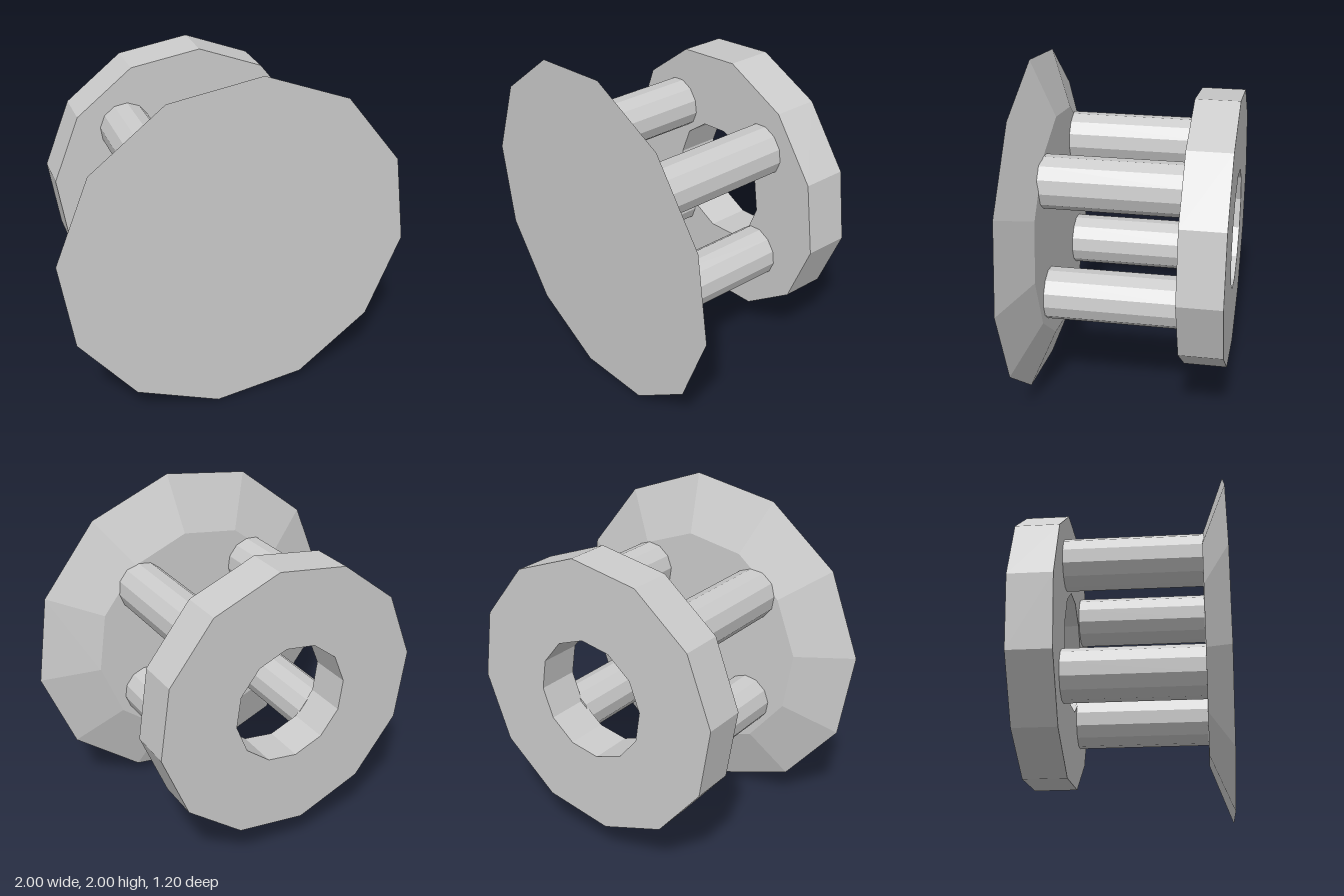
import * as THREE from 'three';

const SIDES = 12;
const TWIST = THREE.MathUtils.degToRad(-6.6);
const material = new THREE.MeshStandardMaterial({ color: 0xcccccc, flatShading: true });

// Twelve-sided prism along z, possibly tapered, from zBack to zFront
function prism(rFront, rBack, zBack, zFront) {
  return new THREE.CylinderGeometry(rFront, rBack, zFront - zBack, SIDES)
    .rotateX(Math.PI / 2)
    .rotateZ(TWIST)
    .translate(0, 0, (zFront + zBack) / 2);
}

function polygon(radius) {
  return Array.from({ length: SIDES }, (_, i) => {
    const a = TWIST + (i / SIDES) * Math.PI * 2;
    return new THREE.Vector2(radius * Math.cos(a), radius * Math.sin(a));
  });
}

function add(parent, name, geometry, x, y, z = 0) {
  const mesh = new THREE.Mesh(geometry, material);
  mesh.name = name;
  mesh.position.set(x, y, z);
  parent.add(mesh);
}

export function createModel() {
  const group = new THREE.Group();
  group.name = 'postedDisc';
  const cx = -0.012;

  // Solid front disc, bevelled towards the back
  add(group, 'frontDisc', prism(1.007, 0.672, 0.445, 0.574), cx, 1.003);

  // Rear ring with a central hole
  const shape = new THREE.Shape(polygon(0.807));
  shape.holes.push(new THREE.Path(polygon(0.35)));
  const ring = new THREE.ExtrudeGeometry(shape, { depth: 0.25, bevelEnabled: false });
  add(group, 'rearRing', ring, cx, 1.02, -0.585);

  // Four posts joining disc and ring
  const post = prism(0.15, 0.15, -0.345, 0.455);
  for (const sx of [-1, 1]) {
    for (const sy of [-1, 1]) {
      const name = (sy > 0 ? 'upper' : 'lower') + (sx > 0 ? 'Left' : 'Right') + 'Post';
      add(group, name, post, cx + sx * 0.367, 1.055 + sy * 0.345);
    }
  }

  // Slight turn of the whole assembly
  group.rotation.y = 0.0215;
  return group;
}
